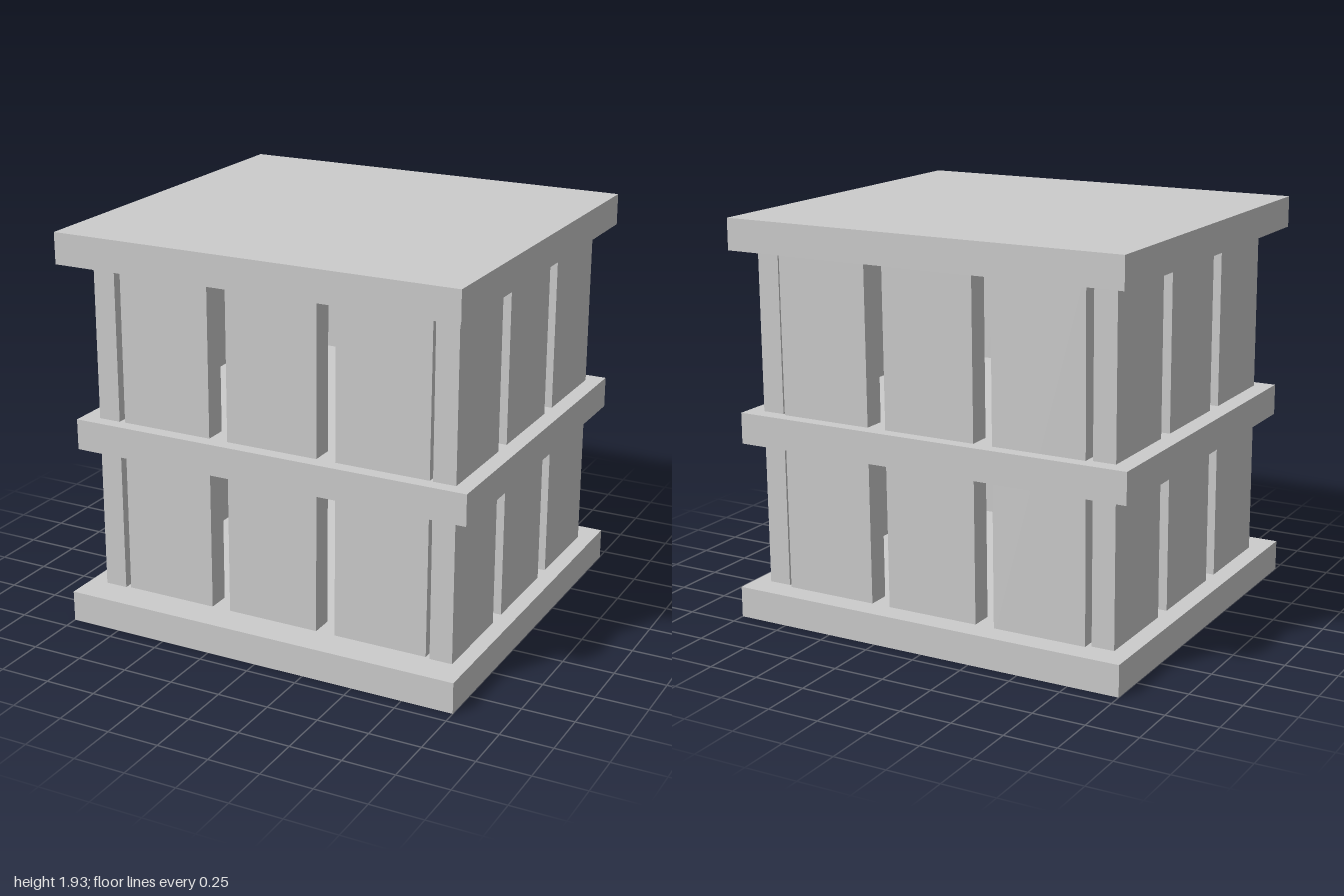
import * as THREE from 'three';

const material = new THREE.MeshStandardMaterial({ color: 0xcccccc, flatShading: true });

function box(name, size, position) {
  const mesh = new THREE.Mesh(new THREE.BoxGeometry(...size), material);
  mesh.name = name;
  mesh.position.set(...position);
  return mesh;
}

export function createModel() {
  const model = new THREE.Group();
  model.name = 'slattedCrate';

  // Horizontal boards: base, middle shelf and lid
  model.add(box('baseBoard', [2, 0.15, 1.86], [0, 0.075, 0]));
  model.add(box('middleBoard', [2, 0.15, 1.71], [0, 0.925, -0.025]));
  model.add(box('topBoard', [2, 0.15, 1.86], [0, 1.853, 0]));

  // Upright slats on all four sides, leaning very slightly along their wall
  const width = 0.46, thickness = 0.11, height = 1.72, middle = 0.965, lean = 0.007;
  const pitch = 0.555;

  for (const i of [-1, 0, 1]) {
    for (const [name, z] of [['frontSlat', 0.708], ['backSlat', -0.762]]) {
      const slat = box(name, [width, height, thickness], [0.01 + i * pitch, middle, z]);
      slat.rotation.z = -lean;
      model.add(slat);
    }
    for (const [name, x] of [['leftSlat', 0.867], ['rightSlat', -0.858]]) {
      const slat = box(name, [thickness, height, width], [x, middle, -0.019 + i * pitch]);
      slat.rotation.x = -lean;
      model.add(slat);
    }
  }
  return model;
}
